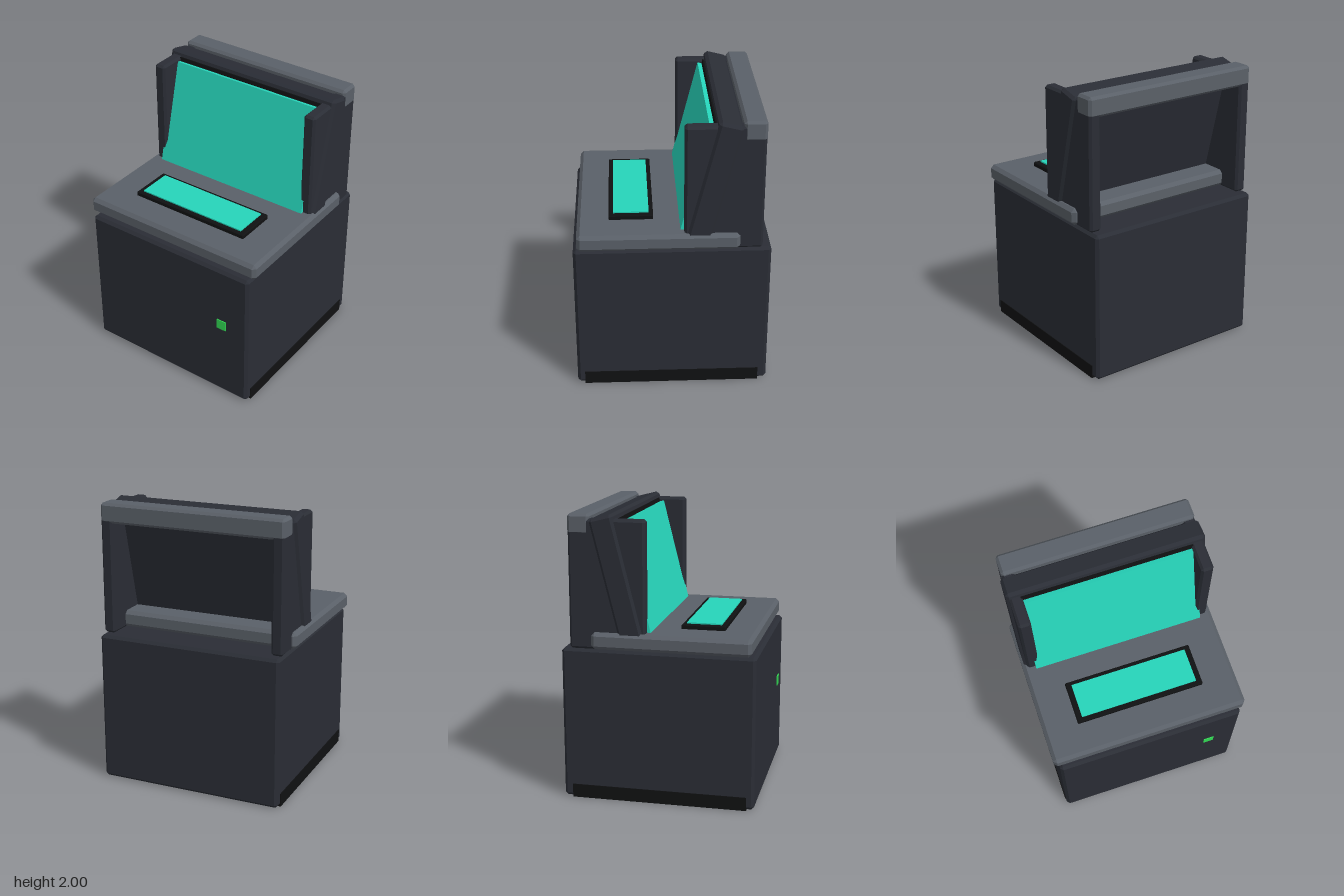
import * as THREE from 'three';
import { ConvexGeometry } from 'three/addons/geometries/ConvexGeometry.js';

const COLORS = { body: 0x2a2d35, trim: 0x5a6068, black: 0x101112, teal: 0x26d4ba, green: 0x33dd55 };

function material(name) {
  return new THREE.MeshStandardMaterial({ color: COLORS[name], flatShading: true });
}

// Box with every edge chamfered by c, given by its [min, max] on each axis
function block(name, color, xs, ys, zs, c = 0) {
  const half = [xs, ys, zs].map(([a, b]) => (b - a) / 2);
  let geometry;
  if (c > 0) {
    const points = [];
    for (const sx of [-1, 1]) for (const sy of [-1, 1]) for (const sz of [-1, 1]) {
      for (let axis = 0; axis < 3; axis++) {
        const [x, y, z] = half.map((h, i) => (i === axis ? h : h - c));
        points.push(new THREE.Vector3(sx * x, sy * y, sz * z));
      }
    }
    geometry = new ConvexGeometry(points);
  } else {
    geometry = new THREE.BoxGeometry(...half.map((h) => h * 2));
  }
  const mesh = new THREE.Mesh(geometry, material(color));
  mesh.name = name;
  mesh.position.set(...[xs, ys, zs].map(([a, b]) => (a + b) / 2));
  return mesh;
}

export function createModel() {
  const model = new THREE.Group();
  model.name = 'consoleTerminal';

  // Lower cabinet with plinth and status light
  model.add(
    block('cabinet', 'body', [-0.67, 0.67], [0.005, 1.078], [-0.672, 0.672], 0.02),
    block('plinth', 'black', [-0.675, 0.675], [0, 0.095], [-0.61, 0.62]),
    block('statusLight', 'green', [0.42, 0.495], [0.58, 0.655], [0.65, 0.678])
  );

  // Counter with its inset touch pad
  model.add(
    block('counter', 'trim', [-0.705, 0.705], [1.085, 1.202], [-0.455, 0.645], 0.024),
    block('padFrame', 'black', [-0.46, 0.46], [1.19, 1.232], [0.122, 0.427], 0.006),
    block('padScreen', 'teal', [-0.42, 0.42], [1.22, 1.241], [0.152, 0.397])
  );

  // Upright side panels
  for (const side of [-1, 1]) {
    const xs = [side * 0.585, side * 0.672].sort((a, b) => a - b);
    model.add(block(side > 0 ? 'leftPanel' : 'rightPanel', 'body', xs, [1.08, 1.968], [-0.61, -0.08], 0.016));
  }

  // Rear bar joining the panels
  model.add(block('topBar', 'trim', [-0.673, 0.673], [1.86, 2.0], [-0.613, -0.46], 0.018));

  // Leaning display: local y runs up the screen, local z out of it
  const display = new THREE.Group();
  display.name = 'display';
  display.position.set(0, 1.2, -0.1);
  display.rotation.x = -0.245;
  display.add(
    block('displayHousing', 'body', [-0.69, 0.69], [-0.05, 0.83], [-0.168, 0], 0.02),
    block('displayBezel', 'black', [-0.64, 0.64], [-0.04, 0.785], [-0.02, 0.012]),
    block('displayScreen', 'teal', [-0.615, 0.615], [-0.03, 0.757], [0, 0.043])
  );
  model.add(display);

  return model;
}
